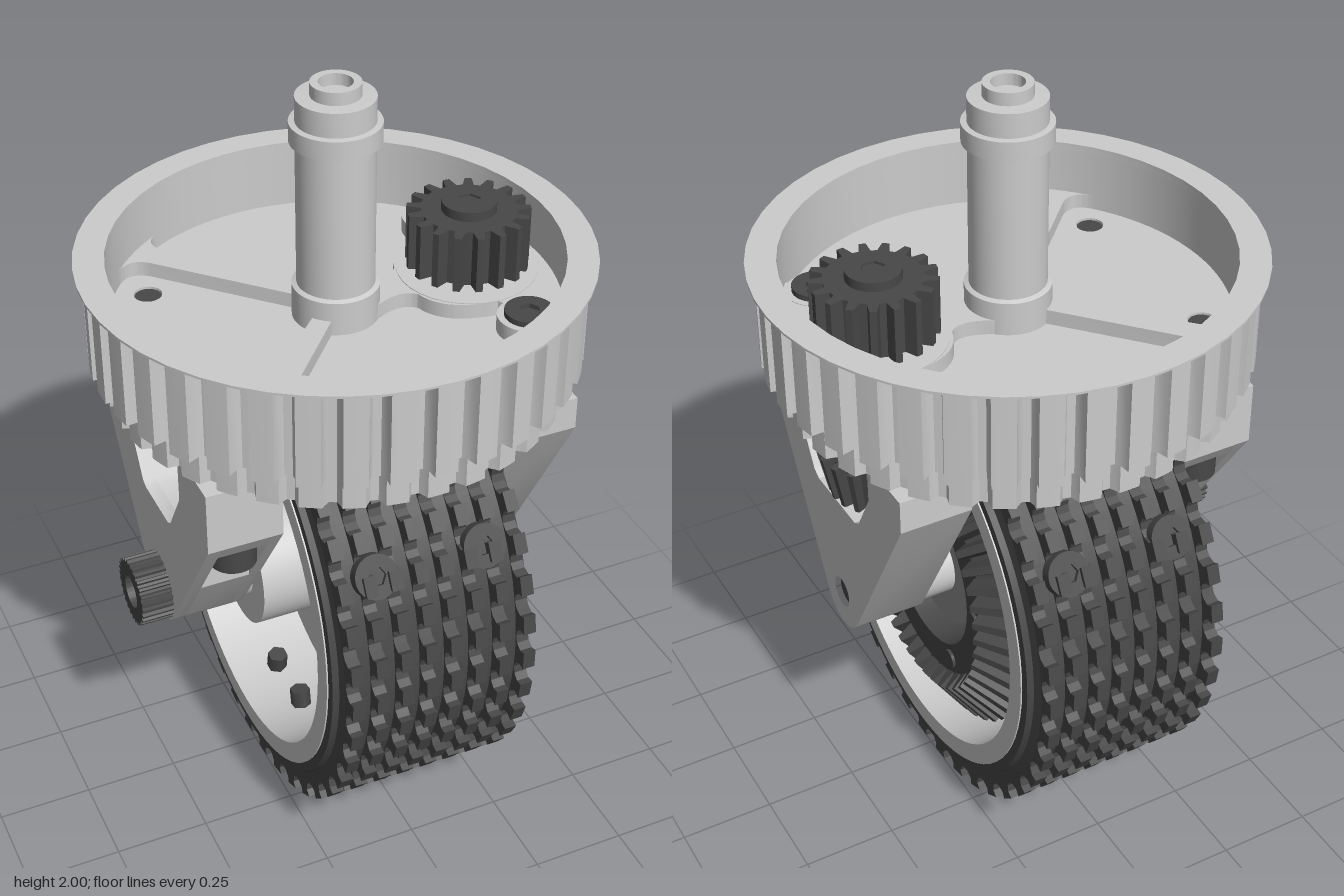
import * as THREE from 'three';
import { mergeGeometries, toCreasedNormals } from 'three/addons/utils/BufferGeometryUtils.js';

const light = new THREE.MeshStandardMaterial({ color: 0xcccccc });
const mid = new THREE.MeshStandardMaterial({ color: 0x909090 });
const dark = new THREE.MeshStandardMaterial({ color: 0x484848 });
const steel = new THREE.MeshStandardMaterial({ color: 0x49525a });
const AXLE_Y = 0.66;
const TAU = Math.PI * 2;

// A point on a circle
const polar = (r, a) => new THREE.Vector2(r * Math.cos(a), r * Math.sin(a));

function addHole(shape, r, x = 0, y = 0) {
  shape.holes.push(new THREE.Path().absarc(x, y, r, 0, TAU, true));
  return shape;
}

function disc(r, hole) {
  const s = new THREE.Shape().absarc(0, 0, r, 0, TAU, false);
  return hole ? addHole(s, hole) : s;
}

// Toothed outline: the profile lists [fraction of pitch, radius] for one tooth
function toothed(n, profile, hole) {
  const pts = [];
  for (let i = 0; i < n; i++)
    for (const [f, r] of profile) pts.push(polar(r, ((i + f) / n) * TAU));
  const s = new THREE.Shape(pts);
  return hole ? addHole(s, hole) : s;
}

const spur = (root, tip) => [[-0.32, root], [-0.15, tip], [0.15, tip], [0.32, root]];

const extrude = (shape, depth, segs = 24) =>
  toCreasedNormals(new THREE.ExtrudeGeometry(shape, { depth, bevelEnabled: false, curveSegments: segs }), 0.5);

// Extrusions along +y from y0 and along +x from x0 (shape x runs along -z)
const upward = (shape, y0, y1, segs) => extrude(shape, y1 - y0, segs).rotateX(-Math.PI / 2).translate(0, y0, 0);
const sideways = (shape, x0, x1, segs) => extrude(shape, x1 - x0, segs).rotateY(Math.PI / 2).translate(x0, 0, 0);

// Turned part from [radius, height] pairs, optionally laid along x
function turned(pairs, alongX = false, segs = 48) {
  const g = toCreasedNormals(new THREE.LatheGeometry(pairs.map(p => new THREE.Vector2(...p)), segs), 0.5);
  return alongX ? g.rotateZ(-Math.PI / 2) : g;
}

const rod = (r, a, b, alongX, segs = 32) => turned([[0, a], [r, a], [r, b], [0, b]], alongX, segs);

function add(parent, name, geometry, material = light, x = 0, y = 0, z = 0) {
  const m = new THREE.Mesh(geometry, material);
  m.name = name;
  m.position.set(x, y, z);
  parent.add(m);
  return m;
}

// Socket-head bolt standing on y = 0
function boltHead(r, h) {
  const hex = new THREE.Shape(Array.from({ length: 6 }, (_, i) => polar(r * 0.45, (i / 6) * TAU)));
  const ring = disc(r);
  ring.holes.push(hex);
  return mergeGeometries([upward(ring, 0, h), upward(disc(r), 0, h * 0.72)]);
}

// Raised floor plate with three round-cornered pockets, leaving the ribs
function ribPlate() {
  const plate = disc(0.572);
  const a = Math.PI - 0.635;
  const side = new THREE.Path().moveTo(-0.085, -0.055);
  side.lineTo(-0.36, -0.345).quadraticCurveTo(-0.41, -0.395, -0.455, -0.335);
  side.absarc(0, 0, 0.565, -a, a, true);
  side.quadraticCurveTo(-0.41, 0.395, -0.36, 0.345).lineTo(-0.085, 0.055).lineTo(-0.085, -0.055);
  plate.holes.push(side);
  for (const s of [-1, 1]) {
    const p = new THREE.Path().moveTo(-0.05, 0.09 * s);
    p.lineTo(-0.31, 0.39 * s).quadraticCurveTo(-0.35, 0.45 * s, -0.293, 0.483 * s);
    p.absarc(0, 0, 0.565, 2.116 * s, 0.64 * s, s > 0);
    p.lineTo(0.36, 0.178 * s).quadraticCurveTo(0.22, 0.17 * s, 0.195, 0.07 * s);
    p.quadraticCurveTo(0.16, 0.03 * s, 0.08, 0.075 * s).lineTo(-0.05, 0.09 * s);
    plate.holes.push(p);
  }
  return plate;
}

function buildTurntable() {
  const g = new THREE.Group();
  g.name = 'turntable';
  const groove = (root, tip) => [[-0.27, tip], [0, tip], [0.27, tip], [0.31, root + 0.015], [0.4, root], [0.6, root], [0.69, root + 0.015]];
  add(g, 'topFlange', turned([[0.565, 1.535], [0.62, 1.535], [0.643, 1.549], [0.643, 1.555], [0.565, 1.555], [0.565, 1.535]]));
  add(g, 'pulleyTeeth', upward(toothed(36, groove(0.58, 0.622), 0.565), 1.285, 1.54, 48));
  add(g, 'lowerRing', upward(toothed(36, groove(0.56, 0.585), 0.52), 1.2, 1.285, 48));
  const floor = disc(0.57);
  for (const s of [-1, 1]) addHole(floor, 0.036, -0.4, s * 0.27);
  add(g, 'floor', upward(floor, 1.32, 1.37, 32));
  add(g, 'ribs', upward(ribPlate(), 1.37, 1.41));
  add(g, 'gearPad', rod(0.18, 1.37, 1.412), light, 0.365);
  for (const s of [-1, 1]) {
    add(g, 'boltBoss', rod(0.08, 1.37, 1.412), light, 0.4, 0, s * 0.268);
    add(g, 'rimBoltHead', boltHead(0.062, 0.045), dark, 0.4, 1.382, s * 0.268);
    add(g, 'bracketBolt', rod(0.034, 0.97, 1.365), dark, -0.4, 0, s * 0.27);
    add(g, 'bracketBoltHead', rod(0.06, 0.91, 0.985), dark, -0.4, 0, s * 0.27);
    // Spacers between the floor and the fork tops
    for (const x of [-0.4, 0.4]) add(g, 'forkSpacer', rod(0.075, 1.19, 1.33), light, x, 0, s * 0.27);
  }
  // Stepped hollow steering post
  add(g, 'post', turned([[0, 1.32], [0.11, 1.32], [0.11, 1.46], [0.098, 1.465], [0.098, 1.848], [0.113, 1.85],
    [0.113, 1.9], [0.098, 1.902], [0.098, 1.965], [0.062, 1.967], [0.062, 2], [0.042, 2], [0.042, 1.97], [0, 1.97]]));
  return g;
}

// Vertical drive shaft with spur gear above and bevel pinion below
function buildDrive() {
  const g = new THREE.Group();
  g.name = 'drive';
  g.position.x = 0.365;
  add(g, 'driveShaft', rod(0.075, 1.1, 1.45), steel);
  add(g, 'spurGear', upward(toothed(17, spur(0.122, 0.157)), 1.43, 1.58), dark);
  add(g, 'spurHub', boltHead(0.07, 0.025), dark, 0, 1.58);
  const pinion = upward(toothed(20, spur(0.136, 0.165)), 0.97, 1.1);
  const p = pinion.attributes.position;
  for (let i = 0; i < p.count; i++) {
    const k = 0.83 + 0.17 * (p.getY(i) - 0.97) / 0.13;
    p.setX(i, p.getX(i) * k);
    p.setZ(i, p.getZ(i) * k);
  }
  pinion.computeVertexNormals();
  add(g, 'bevelPinion', pinion, dark);
  add(g, 'pinionHub', turned([[0, 1.1], [0.14, 1.1], [0.13, 1.115], [0.097, 1.115], [0.097, 1.16], [0, 1.16]]), dark);
  return g;
}

function buildWheel() {
  const g = new THREE.Group();
  g.name = 'wheel';
  g.position.y = AXLE_Y;
  add(g, 'tire', turned([[0.54, -0.27], [0.58, -0.27], [0.585, -0.254], [0.615, -0.25], [0.615, 0.25], [0.585, 0.254],
    [0.58, 0.27], [0.54, 0.27], [0.54, -0.27]], true, 76), dark);
  // Eight rows of flared tread lugs
  const lug = [[-0.24, 0.659], [0.24, 0.659], [0.2, 0.64], [0.32, 0.623], [0.5, 0.617], [0.68, 0.623], [0.8, 0.64]];
  const row = sideways(toothed(38, lug, 0.6), -0.0165, 0.0165);
  for (let i = 0; i < 8; i++) add(g, 'treadRow', row, dark, -0.234 + i * 0.0668);
  add(g, 'rim', turned([[0.555, -0.274], [0.555, 0.274], [0.5, 0.274], [0.5, -0.274], [0.555, -0.274]], true, 72));
  // Web with three openings
  const web = disc(0.505, 0.1);
  for (let i = 0; i < 3; i++) {
    const a = Math.PI / 2 + i * TAU / 3;
    const hole = new THREE.Path();
    hole.absarc(0, 0, 0.49, a - 0.34, a + 0.34, false);
    hole.quadraticCurveTo(...polar(0.49, a + 0.48).toArray(), ...polar(0.41, a + 0.46).toArray());
    hole.absarc(0, 0, 0.21, a + 0.4, a - 0.4, true);
    hole.lineTo(...polar(0.41, a - 0.46).toArray());
    hole.quadraticCurveTo(...polar(0.49, a - 0.48).toArray(), ...polar(0.49, a - 0.34).toArray());
    web.holes.push(hole);
  }
  add(g, 'web', sideways(web, -0.02, 0.07));
  // Tread screws with nuts inside the rim: one pair per upper side, two pairs at the bottom
  for (const angle of [60, -60, 170, 190])
    for (const x of [-0.145, 0.145]) {
      const pivot = new THREE.Group();
      pivot.name = 'treadScrew';
      pivot.position.x = x;
      pivot.rotation.x = THREE.MathUtils.degToRad(angle);
      add(pivot, 'screwHead', boltHead(0.056, 0.042), dark, 0, 0.605);
      add(pivot, 'screwNut', new THREE.CylinderGeometry(0.028, 0.028, 0.055, 6), dark, 0, 0.477);
      g.add(pivot);
    }
  add(g, 'hub', rod(0.17, -0.28, 0.1, true, 48));
  add(g, 'hubCap', rod(0.185, 0.06, 0.21, true, 48), mid);
  add(g, 'spacer', rod(0.09, -0.31, 0.31, true));

  // Bevel ring gear: body, tapered teeth and six bolts through the web
  const gear = new THREE.Group();
  gear.name = 'bevelRingGear';
  add(gear, 'gearBody', turned([[0.23, 0.07], [0.43, 0.07], [0.435, 0.18], [0.32, 0.25], [0.23, 0.25], [0.23, 0.07]], true), dark);
  const teeth = [];
  for (let i = 0; i < 44; i++) {
    const t = new THREE.BoxGeometry(0.06, 0.145, 0.046);
    const p = t.attributes.position;
    for (let j = 0; j < p.count; j++)
      p.setZ(j, p.getZ(j) * (p.getY(j) > 0 ? 1 : 0.72) * (p.getX(j) > 0 ? 0.55 : 1.25));
    t.computeVertexNormals();
    teeth.push(t.rotateZ(0.6).translate(0.225, 0.382, 0).rotateX((i / 44) * TAU));
  }
  add(gear, 'gearTeeth', mergeGeometries(teeth), dark);
  for (let i = 0; i < 6; i++) {
    const a = (i / 6) * TAU, y = 0.27 * Math.sin(a), z = 0.27 * Math.cos(a);
    add(gear, 'gearBolt', rod(0.026, 0, 0.258, true, 16), dark, 0, y, z);
    add(gear, 'gearBoltHead', rod(0.045, -0.06, -0.018, true, 24), dark, 0, y, z);
  }
  g.add(gear);
  return g;
}

// V-shaped fork profile; 'half' lists one side's outline from the top down to the tip
function forkShape(half, win) {
  const pts = half.map(p => new THREE.Vector2(...p));
  for (let i = 0; i <= 10; i++) pts.push(new THREE.Vector2(0, AXLE_Y).add(polar(0.1, -0.6 - (i / 10) * (Math.PI - 1.2))));
  for (const [x, y] of [...half].reverse()) pts.push(new THREE.Vector2(-x, y));
  // Window is open at the top
  for (const [x, y] of win) pts.push(new THREE.Vector2(-x, y));
  for (const [x, y] of [...win].reverse()) pts.push(new THREE.Vector2(x, y));
  return addHole(new THREE.Shape(pts), 0.042, 0, AXLE_Y);
}

function buildFork() {
  const g = new THREE.Group();
  g.name = 'fork';
  const win = [[0.195, 1.2], [0.195, 1.09], [0.13, 0.975], [0.105, 0.96]];
  add(g, 'leftFork', sideways(forkShape([[0.37, 1.2], [0.37, 1.11]], win), 0.305, 0.495));
  // Right fork: the middle layer is notched for the bracket bolts
  const plain = [[0.37, 1.2], [0.37, 1.03]];
  const notched = [...plain, [0.335, 0.98], [0.335, 0.99], [0.208, 0.99], [0.208, 0.79]];
  const win2 = [[0.18, 1.2], [0.18, 1.06], [0.1, 0.93], [0.08, 0.92]];
  for (const [half, a, b] of [[plain, -0.5, -0.465], [notched, -0.465, -0.335], [plain, -0.335, -0.305]])
    add(g, 'rightFork', sideways(forkShape(half, win2), a, b));
  // Axle bolt with knurled head
  add(g, 'axle', rod(0.04, -0.52, 0.48, true), dark, 0, AXLE_Y);
  add(g, 'axleHead', sideways(toothed(28, spur(0.084, 0.092), 0.045), -0.585, -0.5), dark, 0, AXLE_Y);
  add(g, 'axleSocket', rod(0.07, -0.55, -0.5, true, 6), dark, 0, AXLE_Y);
  return g;
}

export function createModel() {
  const model = new THREE.Group();
  model.name = 'steeredDriveWheel';
  model.add(buildTurntable(), buildDrive(), buildWheel(), buildFork());
  return model;
}
